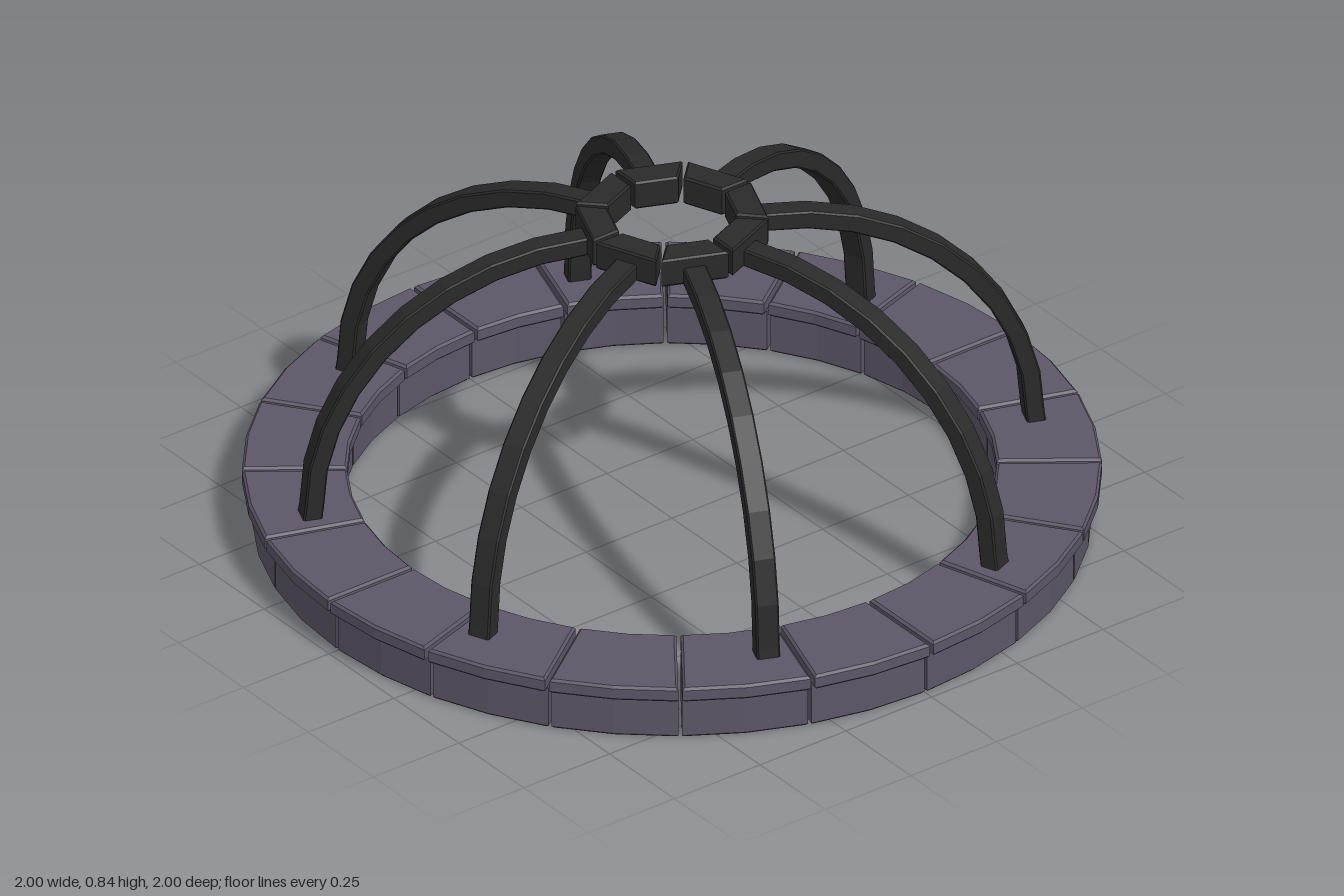
import * as THREE from 'three';

const stone = new THREE.MeshStandardMaterial({ color: 0x5c5667 });
stone.name = 'slateStone';
const iron = new THREE.MeshStandardMaterial({ color: 0x2a2a2a });
iron.name = 'darkIron';

// Extrude a plan outline with a small chamfer that stays inside the outline
function chamferExtrude(points, depth, bevel) {
  return new THREE.ExtrudeGeometry(new THREE.Shape(points), {
    depth: depth - 2 * bevel, steps: 1, bevelEnabled: true, bevelSegments: 1,
    bevelSize: bevel, bevelThickness: bevel, bevelOffset: -bevel,
  }).translate(0, 0, bevel);
}

// One wedge of a ring, centred on +x, with parallel-sided gaps to its neighbours
function wedge(inner, outer, y0, y1, count, segments, gap, bevel) {
  const half = Math.PI / count;
  const arc = (r) => {
    const a = half - Math.asin(gap / 2 / r);
    return Array.from({ length: segments + 1 }, (_, i) => {
      const t = -a + (2 * a * i) / segments;
      return new THREE.Vector2(r * Math.cos(t), r * Math.sin(t));
    });
  };
  const outline = [...arc(outer), ...arc(inner).reverse()];
  return chamferExtrude(outline, y1 - y0, bevel).rotateX(-Math.PI / 2).translate(0, y0, 0);
}

// Repeat one geometry around the y axis, half a step off the x axis
function ringOf(name, geometry, material, count) {
  const group = new THREE.Group();
  group.name = name + 'Ring';
  for (let i = 0; i < count; i++) {
    const mesh = new THREE.Mesh(geometry, material);
    mesh.name = name;
    mesh.rotation.y = ((i + 0.5) * 2 * Math.PI) / count;
    group.add(mesh);
  }
  return group;
}

// Curved bar: a short upright foot followed by a faceted quarter arch
function ribGeometry() {
  const thickness = 0.046, width = 0.056, steps = 9;
  const edge = (offset) => {
    const pts = [new THREE.Vector2(0.872 + offset, 0.13)];
    for (let i = 0; i <= steps; i++) {
      const t = (i / steps) * Math.PI / 2;
      pts.push(new THREE.Vector2(
        0.21 + (0.656 + offset) * Math.cos(t),
        0.17 + (0.617 + offset) * Math.sin(t)));
    }
    pts.push(new THREE.Vector2(0.175, 0.787 + offset));
    return pts;
  };
  const outline = [...edge(thickness / 2), ...edge(-thickness / 2).reverse()];
  return chamferExtrude(outline, width, 0.004).translate(0, 0, -width / 2);
}

export function createModel() {
  const model = new THREE.Group();
  model.name = 'domeFrame';

  // Stone base: wall blocks with overhanging cap slabs
  model.add(ringOf('baseBlock', wedge(0.775, 0.977, 0, 0.112, 20, 2, 0.008, 0.005), stone, 20));
  model.add(ringOf('capSlab', wedge(0.755, 1.0, 0.108, 0.146, 20, 2, 0.01, 0.006), stone, 20));

  // Iron ribs and the octagonal crown they meet
  model.add(ringOf('rib', ribGeometry(), iron, 8));
  model.add(ringOf('crownBlock', wedge(0.15, 0.226, 0.765, 0.838, 8, 1, 0.012, 0.005), iron, 8));

  return model;
}
